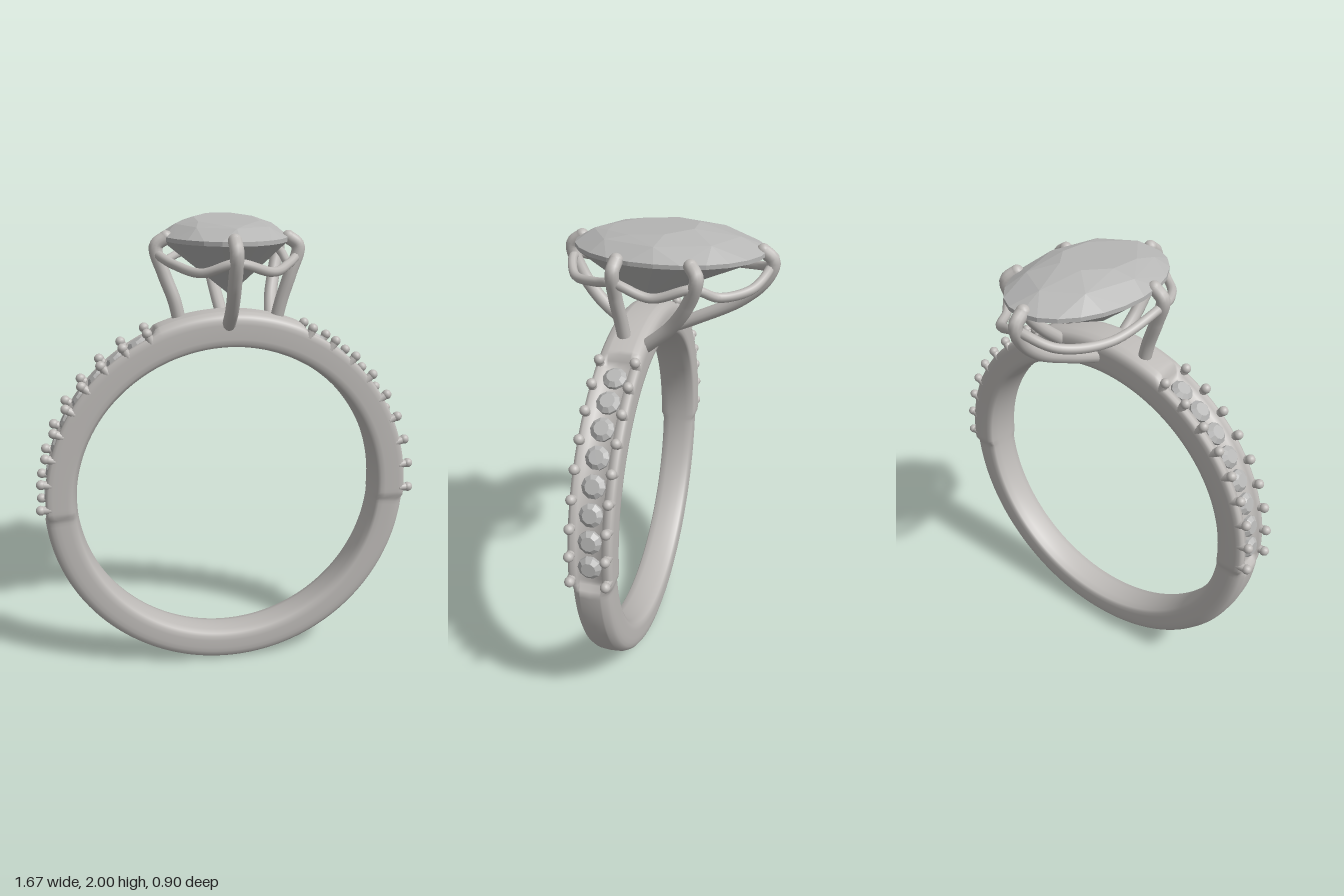
import * as THREE from 'three';
import { mergeVertices } from 'three/addons/utils/BufferGeometryUtils.js';
import { ConvexGeometry } from 'three/addons/geometries/ConvexGeometry.js';

const metal = new THREE.MeshStandardMaterial({ color: 0xbebbb8 });
metal.name = 'metal';
const crystal = new THREE.MeshStandardMaterial({ color: 0xb6b6b5, flatShading: true });
crystal.name = 'crystal';

const CENTRE_Y = 0.806, BAND_Z = 0.122;
const V = (p) => new THREE.Vector3(...p);
const smooth = THREE.MathUtils.smoothstep;

function add(parent, name, geometry, material) {
  const mesh = new THREE.Mesh(geometry, material);
  mesh.name = name;
  parent.add(mesh);
  return mesh;
}

// Band: a lathe whose section changes around the ring.
// Each row: width fraction, radius in the plain, stone-set and head zones.
function bandGeometry() {
  const half = [
    [0, 0.806, 0.772, 0.818], [0.5, 0.803, 0.772, 0.816], [0.57, 0.801, 0.792, 0.815],
    [0.8, 0.792, 0.796, 0.808], [0.92, 0.779, 0.792, 0.797], [0.98, 0.762, 0.782, 0.783],
    [1, 0.742, 0.765, 0.765], [1, 0.705, 0.705, 0.705], [0.97, 0.686, 0.686, 0.686],
    [0.88, 0.673, 0.673, 0.673], [0.5, 0.666, 0.666, 0.666], [0, 0.664, 0.664, 0.664],
  ];
  const mirrored = half.slice(1, -1).map(([w, ...r]) => [-w, ...r]);
  const rows = [half[11], ...mirrored.reverse(), ...half];
  const SEG = 288;
  const geo = new THREE.LatheGeometry(rows.map((r) => new THREE.Vector2(r[1], r[0])), SEG);
  const pos = geo.attributes.position;
  for (let i = 0; i <= SEG; i++) {
    const phi = ((i % SEG) / SEG) * Math.PI * 2;
    const deg = Math.min(phi, Math.PI * 2 - phi) * 180 / Math.PI; // measured from the bottom
    const upper = smooth(deg, 85.5, 88), head = smooth(deg, 155, 158);
    const width = 0.08 + 0.011 * upper;
    rows.forEach(([w, plain, set, top], j) => {
      const r = plain * (1 - upper) + set * (upper - head) + top * head;
      pos.setXYZ(i * rows.length + j, r * Math.sin(phi), -r * Math.cos(phi), w * width);
    });
  }
  geo.deleteAttribute('uv');
  geo.deleteAttribute('normal');
  const merged = mergeVertices(geo, 1e-5);
  merged.computeVertexNormals();
  return merged;
}

// Points around an ellipse, with height given as a function of z
function ellipse(n, a, b, cz, height, shift = 0) {
  return Array.from({ length: n }, (_, i) => {
    const t = ((i + shift) / n) * Math.PI * 2;
    const z = cz + b * Math.cos(t);
    return new THREE.Vector3(a * Math.sin(t), height(z), z);
  });
}

// Oval centre stone: table, crown, girdle, pavilion and point
function ovalStoneGeometry() {
  return new ConvexGeometry([
    ...ellipse(8, 0.135, 0.19, 0.06, (z) => 1.99 - 0.08 * z, 0.5),
    ...ellipse(8, 0.205, 0.3, 0.01, (z) => 1.964 - 0.01 * z),
    ...ellipse(24, 0.265, 0.39, -0.005, () => 1.917),
    ...ellipse(24, 0.265, 0.39, -0.005, () => 1.9),
    ...ellipse(8, 0.15, 0.215, 0.04, () => 1.805, 0.5),
    new THREE.Vector3(0.01, 1.68, 0.1),
  ]);
}

// Prong: a bent wire with a rounded tip hooked over the stone
function addProng(parent, points) {
  const prong = new THREE.Group();
  prong.name = 'prong';
  const path = points.map(V);
  const curve = new THREE.CatmullRomCurve3(path);
  add(prong, 'prongWire', new THREE.TubeGeometry(curve, 40, 0.028, 12), metal);
  const tip = add(prong, 'prongTip', new THREE.SphereGeometry(0.028, 14, 10), metal);
  tip.position.copy(path[path.length - 1]);
  parent.add(prong);
}

export function createModel() {
  const model = new THREE.Group();
  model.name = 'ring';

  const band = new THREE.Group();
  band.name = 'bandGroup';
  band.position.set(0, CENTRE_Y, BAND_Z);
  model.add(band);
  add(band, 'band', bandGeometry(), metal);

  // Small round stones and pairs of beads along both shoulders
  const stoneGeo = new THREE.LatheGeometry(
    [[0.047, -0.02], [0.048, 0], [0.03, 0.016], [0, 0.016]].map((p) => new THREE.Vector2(...p)), 10);
  const beadGeo = new THREE.SphereGeometry(0.021, 14, 10);
  const stemGeo = new THREE.CylinderGeometry(0.017, 0.019, 0.045, 10);
  const STEP = THREE.MathUtils.degToRad(8.1);
  for (const side of [-1, 1]) {
    for (let i = 0; i <= 8; i++) {
      const arm = new THREE.Group();
      arm.name = 'beadPair';
      arm.rotation.z = side * (i * STEP - Math.PI / 2);
      band.add(arm);
      for (const z of [-0.073, 0.073]) {
        add(arm, 'bead', beadGeo, metal).position.set(0, 0.816, z);
        add(arm, 'beadStem', stemGeo, metal).position.set(0, 0.795, z);
      }
      if (i === 8) continue;
      const seat = new THREE.Group();
      seat.name = 'stoneSeat';
      seat.rotation.z = side * ((i + 0.5) * STEP - Math.PI / 2);
      band.add(seat);
      add(seat, 'smallStone', stoneGeo, crystal).position.y = 0.785;
    }
  }

  // Head: centre stone held by five prongs
  const head = new THREE.Group();
  head.name = 'head';
  model.add(head);
  add(head, 'centreStone', ovalStoneGeometry(), crystal);
  [
    [[-0.01, 1.55, 0.17], [-0.015, 1.65, 0.295], [-0.02, 1.77, 0.38], [-0.02, 1.88, 0.415], [-0.02, 1.92, 0.37]],
    [[0, 1.54, 0.05], [0, 1.62, -0.13], [0, 1.71, -0.3], [0, 1.8, -0.395], [0, 1.88, -0.422], [0, 1.918, -0.38]],
    [[-0.2, 1.56, 0.1], [-0.222, 1.66, 0.1], [-0.262, 1.77, 0.09], [-0.292, 1.88, 0.08], [-0.25, 1.915, 0.08]],
    [[0.2, 1.56, 0.13], [0.222, 1.66, 0.14], [0.255, 1.77, 0.15], [0.285, 1.88, 0.15], [0.245, 1.915, 0.145]],
    [[0.2, 1.55, 0.05], [0.222, 1.65, -0.06], [0.255, 1.76, -0.135], [0.282, 1.88, -0.175], [0.25, 1.915, -0.145]],
  ].forEach((points) => addProng(head, points));

  // Wavy wire that links the prongs below the stone
  const wire = new THREE.CatmullRomCurve3([
    [-0.02, 1.84, 0.405], [0.13, 1.8, 0.355], [0.225, 1.815, 0.23], [0.275, 1.835, 0.15],
    [0.285, 1.79, 0], [0.275, 1.835, -0.16], [0.215, 1.79, -0.25], [0.14, 1.805, -0.36],
    [0, 1.85, -0.41], [-0.14, 1.81, -0.36], [-0.24, 1.79, -0.17], [-0.285, 1.845, 0.08],
    [-0.235, 1.82, 0.22], [-0.14, 1.8, 0.35],
  ].map(V), true);
  add(head, 'galleryWire', new THREE.TubeGeometry(wire, 140, 0.019, 10, true), metal);

  return model;
}
